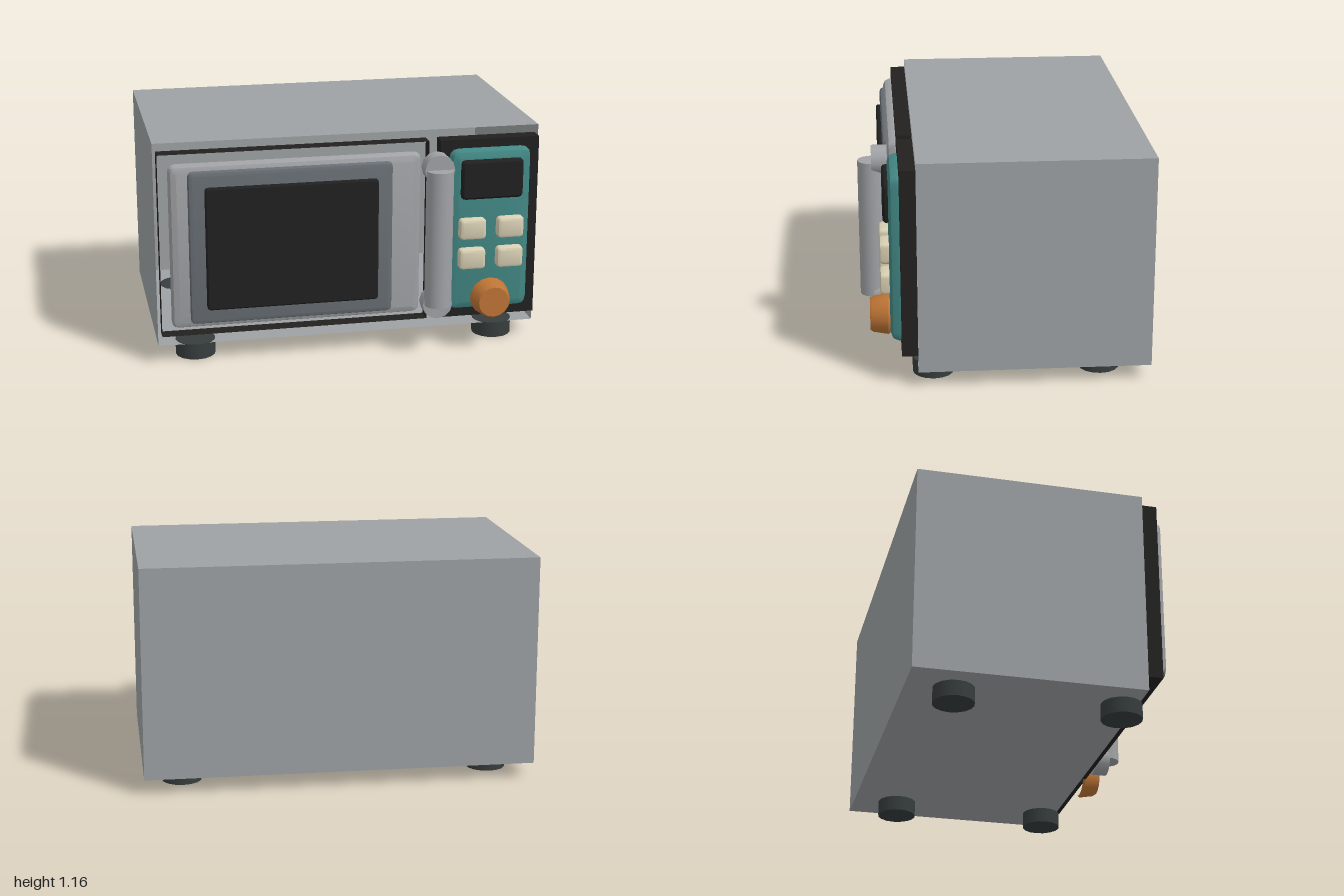
import * as THREE from 'three';
import { toCreasedNormals } from 'three/addons/utils/BufferGeometryUtils.js';

const mat = (name, color, side = THREE.FrontSide) => {
  const m = new THREE.MeshStandardMaterial({ color, side });
  m.name = name;
  return m;
};

// Box with some faces left out (0 +x, 1 -x, 2 +y, 3 -y, 4 +z, 5 -z)
function openBox(w, h, d, dropped) {
  const g = new THREE.BoxGeometry(w, h, d);
  const index = Array.from(g.index.array).filter((_, i) => !dropped.includes(Math.floor(i / 6)));
  g.clearGroups();
  g.setIndex(index);
  return g;
}

// Rounded plate with a bevelled front and a flat back, from z0 to z1
function plate(x0, x1, y0, y1, z0, z1, radius, bevel, bevelDepth, segments = 1) {
  const s = new THREE.Shape();
  const r = radius;
  s.moveTo(x0 + r, y0);
  s.lineTo(x1 - r, y0);
  s.quadraticCurveTo(x1, y0, x1, y0 + r);
  s.lineTo(x1, y1 - r);
  s.quadraticCurveTo(x1, y1, x1 - r, y1);
  s.lineTo(x0 + r, y1);
  s.quadraticCurveTo(x0, y1, x0, y1 - r);
  s.lineTo(x0, y0 + r);
  s.quadraticCurveTo(x0, y0, x0 + r, y0);
  const g = new THREE.ExtrudeGeometry(s, {
    depth: z1 - z0 - bevelDepth, curveSegments: 3, bevelEnabled: true,
    bevelThickness: bevelDepth, bevelSize: bevel, bevelOffset: -bevel, bevelSegments: segments,
  });
  const p = g.attributes.position;
  for (let i = 0; i < p.count; i++) if (p.getZ(i) < 0) p.setZ(i, 0);
  g.translate(0, 0, z0);
  g.computeVertexNormals();
  return toCreasedNormals(g, 0.6);
}

export function createModel() {
  const steel = mat('casing grey', 0x9da1a3, THREE.DoubleSide);
  const silver = mat('door silver', 0xa0a2a5);
  const slate = mat('door slate', 0x686e74);
  const black = mat('black', 0x222120, THREE.DoubleSide);
  const glass = mat('dark glass', 0x202020);
  const teal = mat('panel teal', 0x428885);
  const cream = mat('button cream', 0xd9d0b4);
  const orange = mat('knob orange', 0xbd7435);
  const rubber = mat('foot rubber', 0x363d3c);

  const model = new THREE.Group();
  model.name = 'microwaveOven';
  const add = (name, geometry, material, x = 0, y = 0, z = 0) => {
    const m = new THREE.Mesh(geometry, material);
    m.name = name;
    m.position.set(x, y, z);
    model.add(m);
    return m;
  };

  // Casing, open at the front
  add('casing', openBox(2, 1.08, 1.16, [4]), steel, 0, 0.62, -0.14);

  // Feet
  for (const x of [-0.8, 0.8])
    for (const z of [-0.48, 0.36])
      add('foot', new THREE.CylinderGeometry(0.104, 0.104, 0.082, 16), rubber, x, 0.041, z);

  // Door surround (open wall band) and control backing
  add('doorSurround', openBox(1.385, 0.96, 0.08, [4, 5]), black, -0.292, 0.64, 0.48);
  add('controlBacking', new THREE.BoxGeometry(0.52, 0.96, 0.08), black, 0.72, 0.64, 0.48);

  // Door layers
  add('doorPanel', plate(-0.935, 0.352, 0.21, 1.073, 0.52, 0.567, 0.04, 0.04, 0.038, 2), silver);
  add('doorInset', plate(-0.842, 0.198, 0.24, 1.042, 0.565, 0.588, 0.03, 0.022, 0.018, 2), slate);
  add('doorWindow', plate(-0.76, 0.12, 0.32, 0.962, 0.586, 0.611, 0.02, 0.008, 0.008), glass);

  // Handle bar with a round mount at each end
  add('handleBar', new THREE.CylinderGeometry(0.07, 0.07, 0.72, 20), silver, 0.425, 0.643, 0.648);
  for (const y of [0.283, 1.003]) {
    const mount = add('handleMount', new THREE.CylinderGeometry(0.078, 0.078, 0.08, 12), silver, 0.425, y, 0.608);
    mount.rotation.x = Math.PI / 2;
  }

  // Control panel, display and buttons
  add('controlPanel', plate(0.505, 0.932, 0.21, 1.075, 0.52, 0.572, 0.05, 0.042, 0.042, 2), teal);
  add('display', plate(0.555, 0.88, 0.82, 1.026, 0.57, 0.6, 0.025, 0.012, 0.012), glass);
  for (const x of [0.617, 0.817])
    for (const y of [0.503, 0.664])
      add('button', plate(x - 0.07, x + 0.07, y - 0.055, y + 0.055, 0.57, 0.62, 0.022, 0.016, 0.02, 2), cream);

  // Tapered knob
  const profile = [[0.095, 0], [0.104, 0.012], [0.09, 0.088], [0.08, 0.102], [0, 0.102]]
    .map(([r, h]) => new THREE.Vector2(r, h));
  const knob = add('knob', toCreasedNormals(new THREE.LatheGeometry(profile, 16), 0.6), orange, 0.72, 0.283, 0.57);
  knob.rotation.x = Math.PI / 2;

  return model;
}
